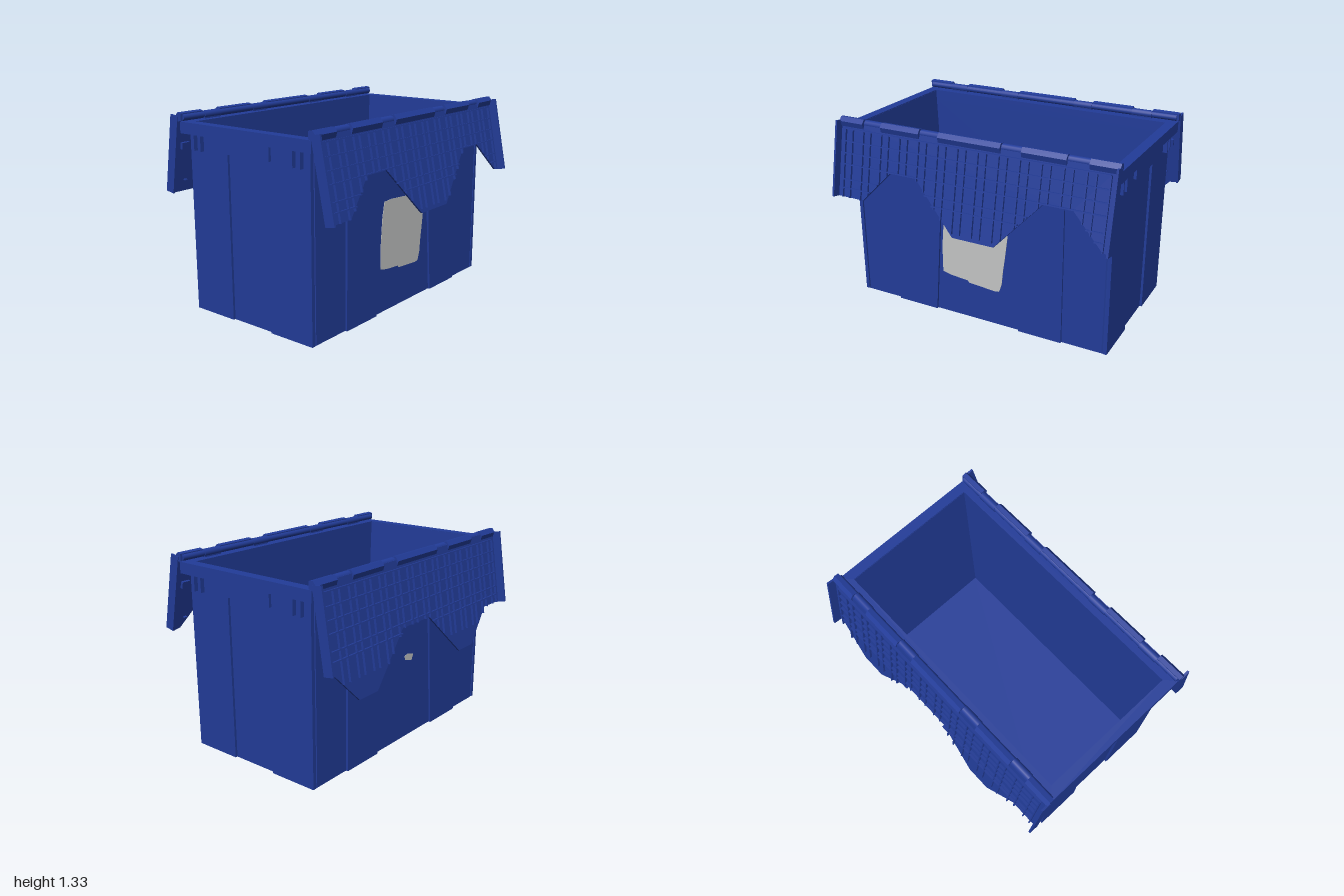
import * as THREE from 'three';

export function createModel() {
  const root = new THREE.Group();
  const blue = new THREE.MeshStandardMaterial({ color: 0x223c99 });
  const paper = new THREE.MeshStandardMaterial({ color: 0xc3c5c5 });
  const CX = -0.01; // the tub sits slightly off the centre line

  const add = (parent, name, geo, mat = blue) => {
    const mesh = new THREE.Mesh(geo, mat);
    mesh.name = name;
    parent.add(mesh);
    return mesh;
  };
  // box given by its two extreme corners
  const block = (parent, name, x0, x1, y0, y1, z0, z1) => {
    const mesh = add(parent, name, new THREE.BoxGeometry(Math.abs(x1 - x0), Math.abs(y1 - y0), Math.abs(z1 - z0)));
    mesh.position.set((x0 + x1) / 2, (y0 + y1) / 2, (z0 + z1) / 2);
    return mesh;
  };
  const polygon = pts => new THREE.Shape(pts.map(p => new THREE.Vector2(p[0], p[1])));
  // outline in (z, y), thickened along x from x0 towards x0 + t
  const sidePlate = (parent, name, pts, x0, t, mat = blue) => {
    const geo = new THREE.ExtrudeGeometry(polygon(pts), { depth: t, bevelEnabled: false });
    geo.rotateY(-Math.PI / 2); // (x, y, z) -> (-z, y, x)
    geo.translate(x0 + t, 0, 0);
    return add(parent, name, geo, mat);
  };
  const rect = (w, d) => [[CX - w, -d], [CX + w, -d], [CX + w, d], [CX - w, d]];
  const frame = (name, outer, inner, y0, y1) => {
    const shape = polygon(outer);
    shape.holes.push(new THREE.Path(inner.map(p => new THREE.Vector2(p[0], p[1]))));
    const geo = new THREE.ExtrudeGeometry(shape, { depth: y1 - y0, bevelEnabled: false });
    geo.rotateX(-Math.PI / 2);
    geo.translate(0, y0, 0);
    return add(root, name, geo);
  };

  // tub walls, floor and rim
  const opening = rect(0.48, 0.92);
  const c = 0.02;
  const outer = [
    [CX - 0.507 + c, -0.93], [CX + 0.507 - c, -0.93], [CX + 0.507, -0.93 + c], [CX + 0.507, 0.93 - c],
    [CX + 0.507 - c, 0.93], [CX - 0.507 + c, 0.93], [CX - 0.507, 0.93 - c], [CX - 0.507, -0.93 + c],
  ];
  frame('tubWalls', outer, opening, 0.005, 1.2);
  frame('rim', rect(0.553, 0.99), opening, 1.195, 1.27);
  block(root, 'floor', CX - 0.5, CX + 0.5, 0, 0.03, -0.925, 0.925);

  for (const s of [-1, 1]) {
    // sloping inner end walls
    const lining = new THREE.ExtrudeGeometry(
      polygon([[0.925, 0.02], [0.87, 0.02], [0.918, 1.265], [0.925, 1.265]].map(p => [p[0] * s, p[1]])),
      { depth: 0.96, bevelEnabled: false });
    lining.rotateY(-Math.PI / 2);
    lining.translate(CX + 0.48, 0, 0);
    add(root, 'innerEndWall', lining);

    // raised corner panels, header and stiffeners on the ends
    block(root, 'endPanel', CX - 0.508, -0.18, 0.004, 1.2, s * 0.92, s * 0.946);
    block(root, 'endPanel', 0.16, CX + 0.508, 0.004, 1.2, s * 0.92, s * 0.946);
    block(root, 'endHeader', -0.21, 0.19, 1.1, 1.2, s * 0.92, s * 0.965);
    for (const x of [-0.46, -0.4, 0.38, 0.44])
      block(root, 'endStiffener', x - 0.006, x + 0.006, 1.09, 1.2, s * 0.94, s * 0.975);

    // raised columns on the long sides
    for (const d of [-1, 1])
      sidePlate(root, 'sideColumn',
        [[0.32, 0.004], [0.63, 0.004], [0.63, 1.2], [0.23, 1.2]].map(p => [p[0] * d, p[1]]),
        s > 0 ? CX + 0.503 : CX - 0.521, 0.018);
  }

  // paper labels on the long sides
  sidePlate(root, 'label', [
    [0.265, 0.31], [0.2, 0.295], [0.07, 0.285], [0.06, 0.27], [-0.14, 0.255], [-0.17, 0.26], [-0.19, 0.32],
    [-0.2, 0.42], [-0.215, 0.52], [-0.235, 0.68], [-0.22, 0.74], [0.15, 0.765], [0.23, 0.76], [0.25, 0.66], [0.265, 0.5],
  ], CX + 0.507, 0.003, paper);
  sidePlate(root, 'labelScrap', [[0, 0.57], [0.07, 0.55], [0.09, 0.59], [0.03, 0.61], [-0.01, 0.6]],
    CX - 0.51, 0.003, paper);

  // interlocking lid halves, hanging open; edge lists the lower outline as [z, y]
  const knuckles = [-0.735, -0.295, 0.295, 0.735];
  const makeLid = (name, s, px, angle, edge) => {
    const lid = new THREE.Group();
    lid.name = name;
    lid.position.set(px, 1.295, 0);
    lid.rotation.z = s * angle;
    root.add(lid);
    const X = (a, b) => (s > 0 ? [a, b] : [-b, -a]);

    const [p0] = X(0, 0.012);
    sidePlate(lid, 'lidPanel', [[-0.99, 0.01], ...edge, [0.99, 0.01]], p0, 0.012);

    const bottom = z => {
      for (let i = 1; i < edge.length; i++) {
        const [a, b] = [edge[i - 1], edge[i]];
        if (z <= b[0]) return a[1] + (b[1] - a[1]) * (z - a[0]) / (b[0] - a[0]);
      }
      return edge[edge.length - 1][1];
    };
    const ribX = X(0.01, 0.028);
    // ribs running down the panel
    for (let i = 0; i <= 26; i++) {
      const z = -0.945 + 1.89 * i / 26 + (i % 2 ? 0.015 : 0);
      block(lid, 'lidRib', ...ribX, -0.046, Math.max(bottom(z), -0.6), z - 0.004, z + 0.004);
    }
    // ribs running along the panel, broken where the outline rises above them
    for (const y of [-0.046, -0.13, -0.21, -0.287, -0.39, -0.45]) {
      let start = null;
      for (let i = 0; i <= 189; i++) {
        const z = -0.945 + i * 0.01;
        const inside = i < 189 && bottom(z) < y;
        if (inside && start === null) start = z;
        if (!inside && start !== null) {
          block(lid, 'lidCrossRib', ...ribX, y - 0.004, y + 0.004, start, z);
          start = null;
        }
      }
    }
    // end flanges with small catches
    for (const d of [-1, 1]) {
      block(lid, 'lidFlange', ...X(0, 0.068), -0.515, 0.005, d * 0.985, d * 0.999);
      block(lid, 'lidCatch', ...X(-0.018, 0.004), -0.215, -0.17, d * 0.9, d * 0.96);
      block(lid, 'lidPin', ...X(-0.018, 0.004), -0.435, -0.428, d * 0.9, d * 0.92);
    }

    // hinge: rod, knuckles on the rim, lid lip between the knuckles
    const hx = s > 0 ? 0.535 : -0.555;
    const rod = (partName, r, len, z) => {
      const mesh = add(root, partName, new THREE.CylinderGeometry(r, r, len, 16).rotateX(Math.PI / 2));
      mesh.position.set(hx, 1.295, z);
    };
    rod('hingeRod', 0.022, 1.96, 0);
    for (const z of knuckles) {
      rod('hingeKnuckle', 0.026, 0.14, z);
      block(root, 'hingeFoot', hx - 0.02, hx + 0.02, 1.26, 1.295, z - 0.07, z + 0.07);
    }
    const stops = [-0.995, ...knuckles.flatMap(z => [z - 0.072, z + 0.072]), 0.995];
    for (let i = 0; i < stops.length; i += 2) {
      const lip = new THREE.ExtrudeGeometry(
        polygon([[-0.008, 1.275], [-0.008, 1.322], [0.022, 1.328], [0.045, 1.3], [0.035, 1.265]].map(p => [hx + s * p[0], p[1]])),
        { depth: stops[i + 1] - stops[i], bevelEnabled: false });
      lip.translate(0, 0, stops[i]);
      add(root, 'lidLip', lip);
    }
  };

  makeLid('leftLid', 1, 0.547, 0.2, [
    [-0.99, -0.515], [-0.94, -0.505], [-0.73, -0.29], [-0.54, -0.29], [-0.23, -0.627],
    [0.07, -0.627], [0.38, -0.29], [0.57, -0.29], [0.78, -0.515], [0.99, -0.515],
  ]);
  makeLid('rightLid', -1, -0.575, 0.155, [
    [-0.99, -0.51], [-0.94, -0.515], [-0.73, -0.733], [-0.55, -0.733], [-0.23, -0.42],
    [0.07, -0.42], [0.39, -0.733], [0.56, -0.733], [0.78, -0.51], [0.99, -0.51],
  ]);

  return root;
}
